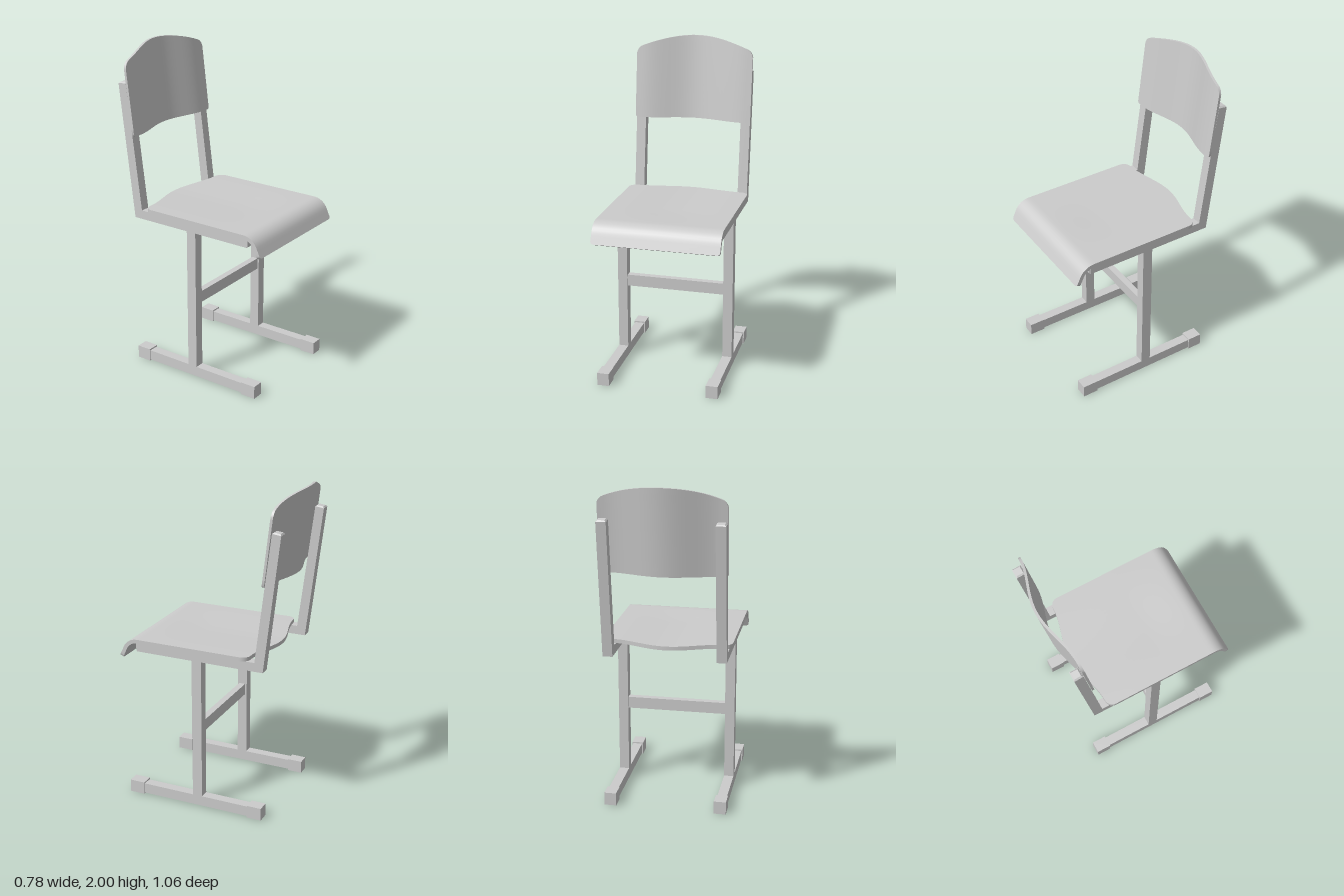
import * as THREE from 'three';
import { toCreasedNormals } from 'three/addons/utils/BufferGeometryUtils.js';

const material = new THREE.MeshStandardMaterial({ color: 0xcccccc });

function add(parent, name, geometry, x = 0, y = 0, z = 0) {
  const mesh = new THREE.Mesh(geometry, material);
  mesh.name = name;
  mesh.position.set(x, y, z);
  parent.add(mesh);
  return mesh;
}

// Box given by its lower and upper corners
function box(parent, name, [x0, y0, z0], [x1, y1, z1]) {
  return add(parent, name, new THREE.BoxGeometry(x1 - x0, y1 - y0, z1 - z0),
    (x0 + x1) / 2, (y0 + y1) / 2, (z0 + z1) / 2);
}

// Smooth hump: 1 in the middle, 0 towards the sides
const hump = (x) => (Math.abs(x) < 0.34 ? (1 + Math.cos((Math.PI * x) / 0.34)) / 2 : 0);

// Inset of an edge at x that rounds the corner of a panel of half width w
function corner(x, w, r) {
  const d = Math.min(r, Math.max(0, Math.abs(x) - (w - r)));
  return r - Math.sqrt(r * r - d * d);
}

// Bent plywood panel: point(x, s, side) gives the upper (side 0) or lower (side 1) face,
// with s running between start(x) and end(x)
function plywood(halfWidth, start, end, point, nu, nv) {
  const positions = [], index = [];
  const row = nv + 1, layer = (nu + 1) * row;
  for (let side = 0; side < 2; side++) {
    for (let i = 0; i <= nu; i++) {
      const x = halfWidth * Math.sin((i / nu - 0.5) * Math.PI);
      for (let j = 0; j <= nv; j++) {
        const s = THREE.MathUtils.lerp(start(x), end(x), j / nv);
        positions.push(...point(x, s, side));
      }
    }
  }
  for (let i = 0; i < nu; i++) {
    for (let j = 0; j < nv; j++) {
      const a = i * row + j, b = a + 1, c = a + row + 1, d = a + row;
      index.push(a, b, c, a, c, d);
      index.push(layer + a, layer + c, layer + b, layer + a, layer + d, layer + c);
    }
  }
  // Rim that joins the two faces
  const loop = [];
  for (let j = 0; j < nv; j++) loop.push(j);
  for (let i = 0; i < nu; i++) loop.push(i * row + nv);
  for (let j = nv; j > 0; j--) loop.push(nu * row + j);
  for (let i = nu; i > 0; i--) loop.push(i * row);
  loop.forEach((a, k) => {
    const b = loop[(k + 1) % loop.length];
    index.push(layer + a, layer + b, b, layer + a, b, a);
  });
  const geometry = new THREE.BufferGeometry();
  geometry.setAttribute('position', new THREE.Float32BufferAttribute(positions, 3));
  geometry.setIndex(index);
  return toCreasedNormals(geometry, 0.7);
}

// Seat: flat with a shallow hollow, rolled down at the front
function seatGeometry() {
  const w = 0.388, bendZ = 0.41, topY = 1.047, radius = 0.1, angle = 1.134, thick = 0.024;
  const start = (x) => -0.315 - 0.064 * hump(x) + corner(x, w, 0.05) - bendZ;
  const end = (x) => radius * angle + 0.068 - corner(x, w, 0.018);
  const point = (x, s, side) => {
    const a = THREE.MathUtils.clamp(s / radius, 0, angle);
    const straight = s < 0 ? s : Math.max(0, s - radius * angle);
    const r = radius - side * thick;
    const hollow = 0.008 * hump(x) * THREE.MathUtils.smoothstep(-s, 0, 0.3);
    return [
      x,
      topY - radius + r * Math.cos(a) - straight * Math.sin(a) - hollow,
      bendZ + r * Math.sin(a) + straight * Math.cos(a),
    ];
  };
  return plywood(w, start, end, point, 40, 54);
}

// Backrest: leaning panel, bowed backwards in the middle, with an arched top
function backrestGeometry() {
  const w = 0.374;
  const start = (x) => 2.0 - 0.075 * (x / 0.36) ** 2 - corner(x, w, 0.035);
  const end = (x) => 1.48 + corner(x, w, 0.018);
  const point = (x, y, side) =>
    [x, y, -0.392 - 0.12 * (y - 1.48) - 0.064 * hump(x) - side * 0.015];
  return plywood(w, start, end, point, 40, 12);
}

// Seat rail and leaning upright in one piece, drawn in (z, y)
function railGeometry() {
  const shape = new THREE.Shape([
    [0.42, 0.965], [0.42, 1.02], [-0.352, 1.02], [-0.45, 1.8], [-0.505, 1.793], [-0.405, 0.965],
  ].map(([z, y]) => new THREE.Vector2(z, y)));
  const geometry = new THREE.ExtrudeGeometry(shape, { depth: 0.06, bevelEnabled: false });
  return geometry.rotateY(-Math.PI / 2).translate(0.03, 0, 0);
}

export function createModel() {
  const chair = new THREE.Group();
  chair.name = 'chair';

  add(chair, 'seat', seatGeometry());
  add(chair, 'backrest', backrestGeometry());
  box(chair, 'crossbar', [-0.31, 0.487, 0.002], [0.31, 0.56, 0.043]);

  // Side frames
  for (const [side, x] of [['left', 0.34], ['right', -0.34]]) {
    const frame = new THREE.Group();
    frame.name = side + 'Frame';
    frame.position.x = x;
    chair.add(frame);

    add(frame, 'railAndUpright', railGeometry());
    box(frame, 'railPlug', [-0.027, 0.968, 0.42], [0.027, 1.017, 0.426]);
    box(frame, 'post', [-0.03, 0.07, -0.01], [0.03, 0.966, 0.053]);
    box(frame, 'footRunner', [-0.03, 0.006, -0.38], [0.03, 0.071, 0.46]);
    box(frame, 'frontFootCap', [-0.037, 0, 0.392], [0.037, 0.08, 0.49]);
    box(frame, 'backFootCap', [-0.037, 0, -0.407], [0.037, 0.08, -0.315]);

    // Bevelled plug on top of the upright
    const plug = new THREE.CylinderGeometry(0.03, 0.042, 0.008, 4, 1).rotateY(Math.PI / 4);
    plug.scale(1, 1, 0.92);
    const flatPlug = plug.toNonIndexed();
    flatPlug.computeVertexNormals();
    add(frame, 'uprightPlug', flatPlug, 0, 1.8, -0.478).rotation.x = -0.125;
  }
  return chair;
}
